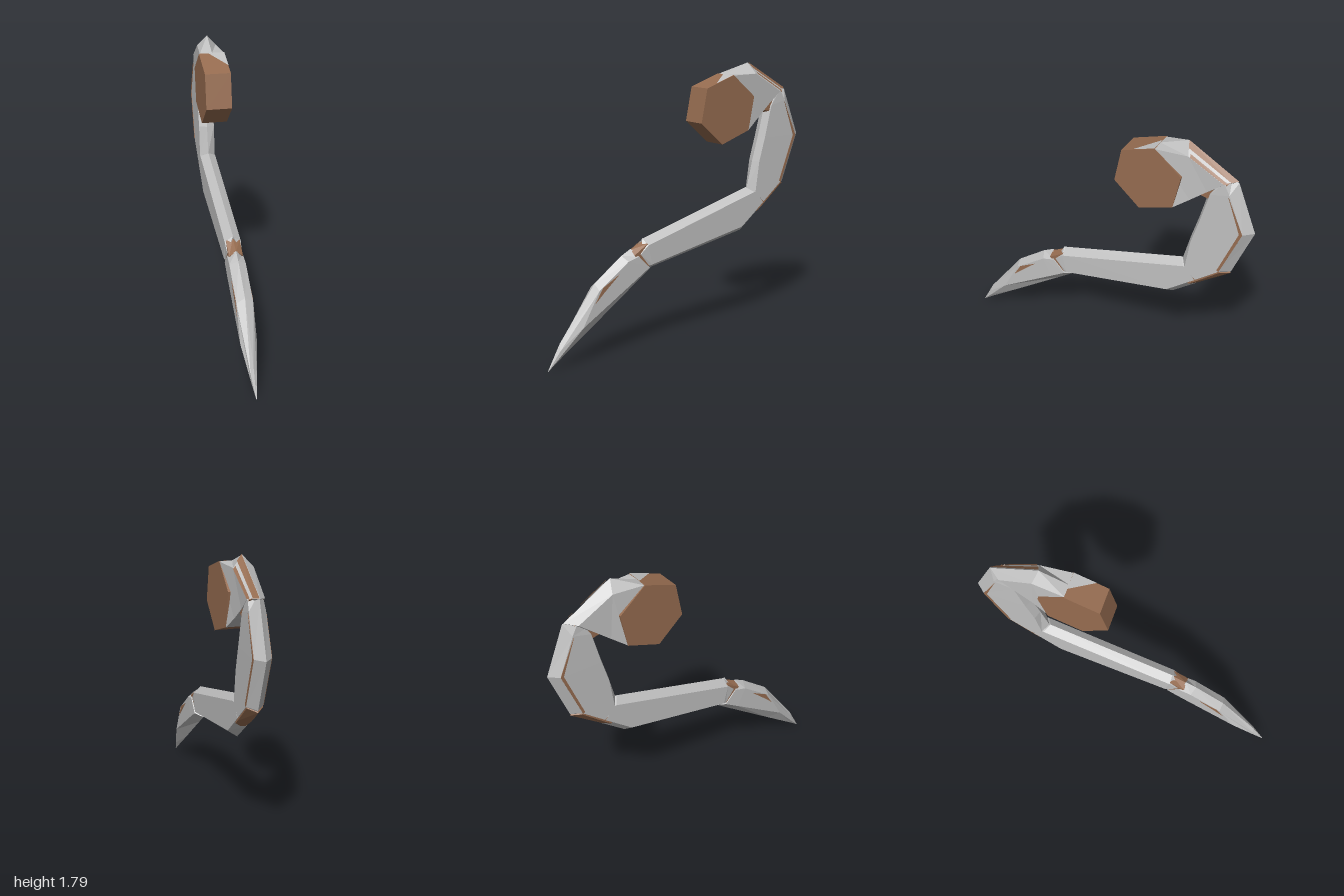
import * as THREE from 'three';

const grey = new THREE.MeshStandardMaterial({ name: 'shellGrey', color: 0xc0c0c0, flatShading: true });
const brown = new THREE.MeshStandardMaterial({ name: 'coreBrown', color: 0x966c50, flatShading: true });

function mesh(name, geometry, material) {
  const m = new THREE.Mesh(geometry, material);
  m.name = name;
  return m;
}

function trianglesToGeometry(tris) {
  const g = new THREE.BufferGeometry();
  g.setAttribute('position', new THREE.Float32BufferAttribute(tris.flat(2), 3));
  g.computeVertexNormals();
  return g;
}

// Six-sided limb: each station is [ridge, shoulder, lower shoulder, keel, halfWidth], points as [z, y]
function limb(name, stations, material, cx = 0.0075) {
  const rings = stations.map(([top, sh, low, keel, w]) => [
    [0, top], [w, sh], [w, low], [0, keel], [-w, low], [-w, sh],
  ].map(([x, [z, y]]) => [cx + x * 1, y, z]));
  const tris = [];
  for (let i = 0; i < rings.length - 1; i++) {
    for (let j = 0; j < 6; j++) {
      const k = (j + 1) % 6, a = rings[i], b = rings[i + 1];
      tris.push([a[j], a[k], b[k]], [a[j], b[k], b[j]]);
    }
  }
  const first = rings[0], last = rings[rings.length - 1];
  for (let j = 1; j < 5; j++) {
    tris.push([first[0], first[j + 1], first[j]], [last[0], last[j], last[j + 1]]);
  }
  return mesh(name, trianglesToGeometry(tris), material);
}

// Flat outline in [z, y], extruded across x
function slab(name, points, x, thickness, material) {
  const shape = new THREE.Shape(points.map(([z, y]) => new THREE.Vector2(z, y)));
  const g = new THREE.ExtrudeGeometry(shape, { depth: thickness, bevelEnabled: false });
  g.rotateY(-Math.PI / 2).translate(x + thickness / 2, 0, 0);
  return mesh(name, g, material);
}

// Strip on a four-cornered face, between fractions v0 and v1 of its width
function strip(name, [a, b, c, d], u0, u1, v0, v1, lift, material) {
  const at = (u, v) => {
    const p = new THREE.Vector3(...a).lerp(new THREE.Vector3(...b), u);
    const q = new THREE.Vector3(...d).lerp(new THREE.Vector3(...c), u);
    return p.lerp(q, v).add(new THREE.Vector3(lift, lift, -lift / 2)).toArray();
  };
  const [p, q, r, s] = [at(u0, v0), at(u1, v0), at(u1, v1), at(u0, v1)];
  return mesh(name, trianglesToGeometry([[p, s, r], [p, r, q]]), material);
}

export function createModel() {
  const group = new THREE.Group();
  group.name = 'clawedLeg';

  // Hexagonal hip pivot
  group.add(slab('hipPivot', [[-0.11, 1.43], [-0.155, 1.65], [-0.37, 1.722],
    [-0.545, 1.575], [-0.5, 1.355], [-0.28, 1.28]], 0, 0.166, brown));
  group.add(mesh('hipTopFacet', trianglesToGeometry([
    [[-0.025, 1.724, -0.37], [0.083, 1.679, -0.23], [0.083, 1.724, -0.37]],
  ]), grey));

  // Shoulder shell, tapering from pivot to upper limb
  group.add(limb('shoulderShell', [
    [[-0.37, 1.722], [-0.37, 1.72], [-0.5, 1.355], [-0.5, 1.355], 0.08],
    [[-0.55, 1.79], [-0.575, 1.72], [-0.6, 1.43], [-0.6, 1.43], 0.062],
    [[-0.87, 1.605], [-0.80, 1.59], [-0.70, 1.51], [-0.66, 1.485], 0.052],
  ], grey, 0.0025));
  const slope = [[0.003, 1.79, -0.55], [0.003, 1.605, -0.87], [0.055, 1.59, -0.80], [0.065, 1.72, -0.575]];
  group.add(strip('shoulderGrooveTop', slope, 0, 1, 0, 0.5, 0.004, brown));
  group.add(strip('shoulderGrooveBottom', slope, 0.05, 1, 0.75, 1, 0.004, brown));
  group.add(limb('shoulderJoint', [
    [[-0.74, 1.63], [-0.74, 1.60], [-0.64, 1.48], [-0.64, 1.47], 0.042],
    [[-0.84, 1.61], [-0.82, 1.59], [-0.72, 1.46], [-0.70, 1.45], 0.042],
  ], brown));

  // Upper limb, bowed backwards
  group.add(limb('upperLimb', [
    [[-0.555, 0.95], [-0.59, 0.92], [-0.665, 0.85], [-0.665, 0.85], 0.052],
    [[-0.60, 1.13], [-0.62, 1.13], [-0.815, 0.97], [-0.875, 0.96], 0.052],
    [[-0.645, 1.285], [-0.665, 1.285], [-0.94, 1.285], [-1, 1.285], 0.052],
    [[-0.70, 1.50], [-0.72, 1.50], [-0.84, 1.53], [-0.875, 1.60], 0.05],
    [[-0.74, 1.55], [-0.75, 1.55], [-0.80, 1.60], [-0.83, 1.61], 0.045],
  ], grey));
  for (const x of [0.059, -0.044]) {
    group.add(slab('upperLimbGroove', [[-0.835, 1.52], [-0.94, 1.285], [-0.815, 0.97],
      [-0.80, 0.975], [-0.92, 1.285]], x, 0.006, brown));
  }

  // Elbow core showing under the bend
  group.add(limb('elbowCore', [
    [[-0.60, 0.88], [-0.60, 0.86], [-0.62, 0.80], [-0.62, 0.765], 0.05],
    [[-0.70, 0.93], [-0.68, 0.86], [-0.66, 0.83], [-0.66, 0.79], 0.05],
    [[-0.82, 1.0], [-0.81, 0.985], [-0.82, 0.962], [-0.875, 0.948], 0.05],
  ], brown));

  // Lower limb
  group.add(limb('lowerLimb', [
    [[0.30, 0.73], [0.345, 0.64], [0.28, 0.555], [0.24, 0.53], 0.046],
    [[0.29, 0.73], [0.29, 0.69], [0.26, 0.562], [0.23, 0.532], 0.052],
    [[-0.545, 0.955], [-0.58, 0.925], [-0.475, 0.70], [-0.5, 0.665], 0.052],
    [[-0.56, 0.95], [-0.60, 0.92], [-0.66, 0.845], [-0.655, 0.785], 0.052],
  ], grey));

  // Ankle core between lower limb and claw
  group.add(limb('ankleCore', [
    [[0.39, 0.668], [0.39, 0.64], [0.32, 0.55], [0.29, 0.525], 0.044],
    [[0.29, 0.715], [0.29, 0.70], [0.24, 0.56], [0.23, 0.54], 0.044],
  ], brown));

  // Pointed claw
  group.add(limb('claw', [
    [[1, 0], [1, 0], [1, 0], [1, 0], 0.002],
    [[0.915, 0.16], [0.92, 0.12], [0.925, 0.08], [0.93, 0.05], 0.019],
    [[0.66, 0.495], [0.655, 0.46], [0.775, 0.245], [0.70, 0.207], 0.052],
    [[0.46, 0.64], [0.44, 0.61], [0.38, 0.485], [0.34, 0.456], 0.052],
    [[0.39, 0.675], [0.36, 0.63], [0.28, 0.545], [0.24, 0.525], 0.05],
  ], grey));
  for (const x of [0.059, -0.044]) {
    group.add(slab('clawSlit', [[0.51, 0.54], [0.63, 0.475], [0.685, 0.385], [0.62, 0.445]], x, 0.006, brown));
  }

  return group;
}
